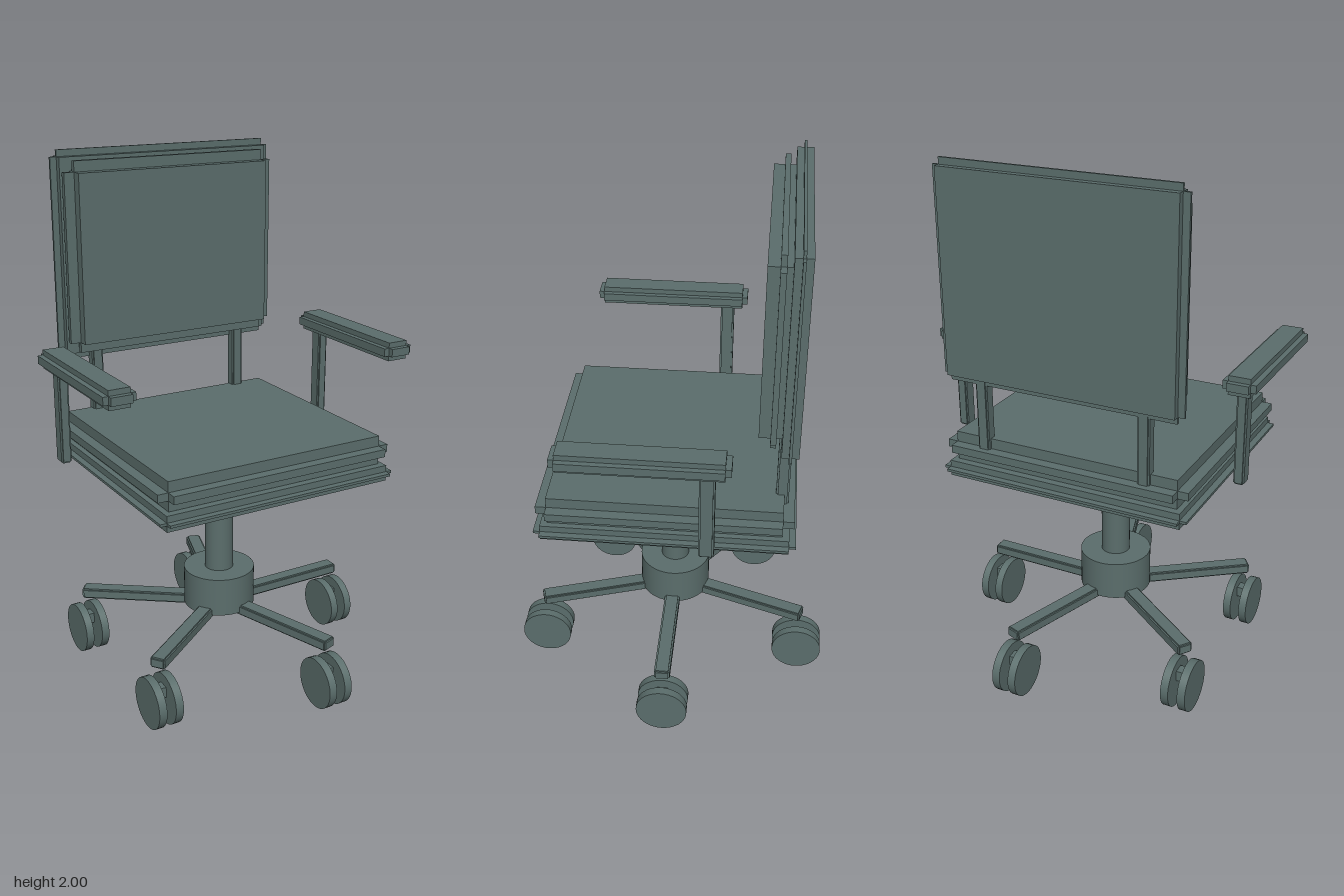
import * as THREE from 'three';

const material = new THREE.MeshStandardMaterial({ color: 0x5b6e6c });

function add(parent, name, geometry, x, y, z) {
  const mesh = new THREE.Mesh(geometry, material);
  mesh.name = name;
  mesh.position.set(x, y, z);
  parent.add(mesh);
  return mesh;
}

// Slab with stepped edges: three crossed boxes, each reaching full size along one axis
function steppedSlab(parent, name, [w, h, d], step, [x, y, z]) {
  const slab = new THREE.Group();
  slab.name = name;
  slab.position.set(x, y, z);
  const s = 2 * step;
  add(slab, name + 'Width', new THREE.BoxGeometry(w, h - s, d - s), 0, 0, 0);
  add(slab, name + 'Height', new THREE.BoxGeometry(w - s, h, d - s), 0, 0, 0);
  add(slab, name + 'Depth', new THREE.BoxGeometry(w - s, h - s, d), 0, 0, 0);
  parent.add(slab);
  return slab;
}

export function createModel() {
  const chair = new THREE.Group();
  chair.name = 'officeChair';

  // Seat
  steppedSlab(chair, 'seatPan', [0.97, 0.06, 0.94], 0.025, [0, 0.855, 0]);
  steppedSlab(chair, 'seatCushion', [0.96, 0.11, 0.92], 0.04, [0, 0.942, 0]);

  // Backrest
  steppedSlab(chair, 'backCushion', [0.88, 0.72, 0.1], 0.04, [0, 1.604, -0.368]);
  steppedSlab(chair, 'backShell', [0.93, 0.792, 0.06], 0.025, [0, 1.604, -0.428]);

  // Back posts and armrests, mirrored
  for (const side of [-1, 1]) {
    steppedSlab(chair, 'backPost', [0.046, 0.34, 0.046], 0.006, [side * 0.317, 1.11, -0.413]);
    steppedSlab(chair, 'armPost', [0.04, 0.35, 0.054], 0.006, [side * 0.57, 1.075, -0.16]);
    steppedSlab(chair, 'armPad', [0.12, 0.07, 0.6], 0.02, [side * 0.57, 1.285, 0.06]);
  }

  // Column and hub
  add(chair, 'gasColumn', new THREE.CylinderGeometry(0.056, 0.056, 0.45, 32), 0, 0.61, 0);
  add(chair, 'hub', new THREE.CylinderGeometry(0.139, 0.139, 0.153, 48), 0, 0.324, 0);

  // Five-legged base with twin-wheel casters, all rolling along z
  for (let i = 0; i < 5; i++) {
    const angle = (i * 2 * Math.PI) / 5;
    const cos = Math.cos(angle), sin = Math.sin(angle);
    const leg = steppedSlab(chair, 'baseLeg', [0.55, 0.042, 0.06], 0.006, [0.278 * cos, 0.255, 0.278 * sin]);
    leg.rotation.y = -angle;

    const caster = new THREE.Group();
    caster.name = 'caster';
    caster.position.set(0.54 * cos, 0.098, 0.54 * sin);
    for (const side of [-1, 1]) {
      const wheel = add(caster, 'wheel', new THREE.CylinderGeometry(0.098, 0.098, 0.031, 40), side * 0.0335, 0, 0);
      wheel.rotation.z = Math.PI / 2;
    }
    add(caster, 'axleBlock', new THREE.BoxGeometry(0.05, 0.042, 0.042), 0, 0.037, 0);
    chair.add(caster);
  }
  return chair;
}
